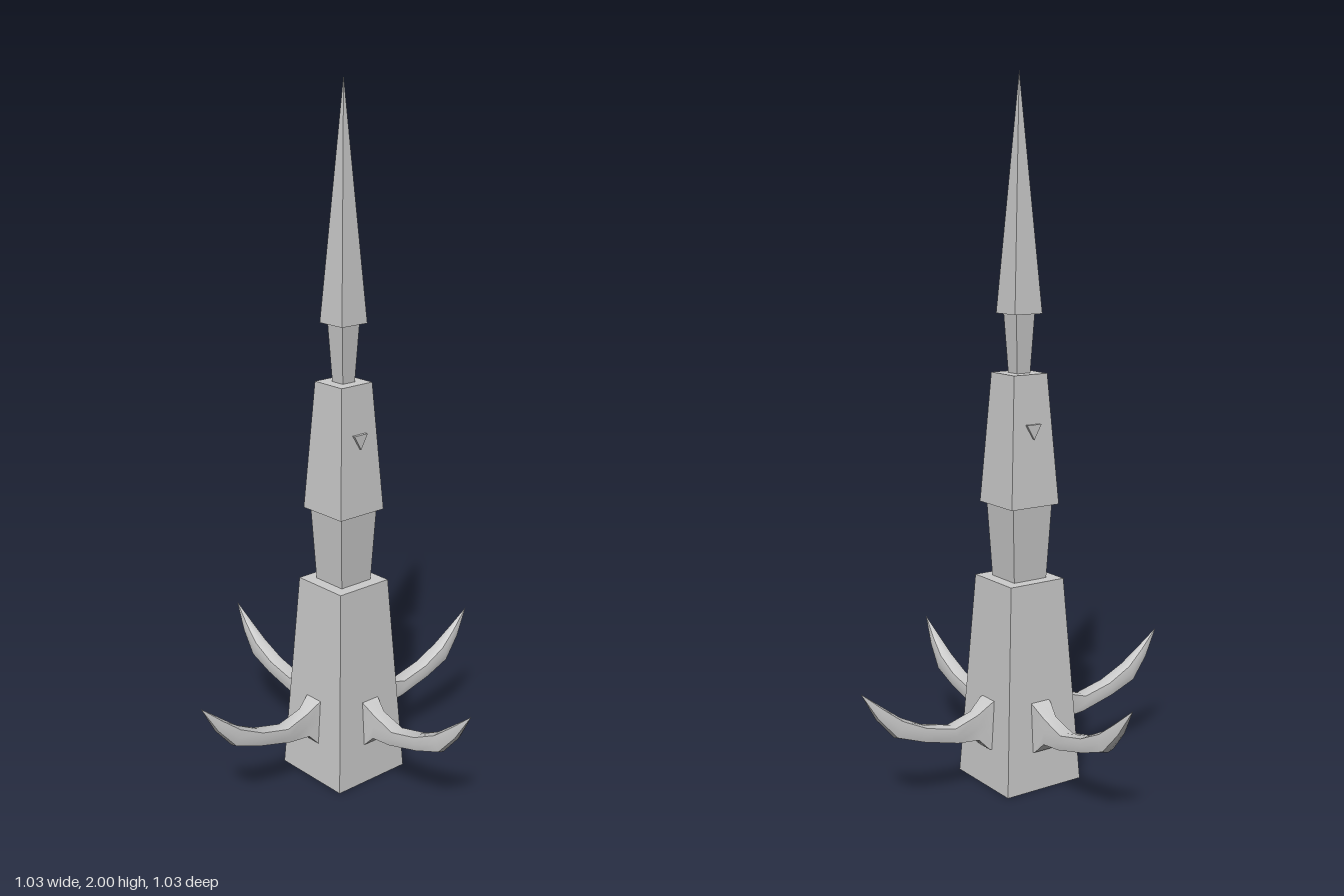
import * as THREE from 'three';
import { toCreasedNormals } from 'three/addons/utils/BufferGeometryUtils.js';

const flat = new THREE.MeshStandardMaterial({ color: 0xcccccc, flatShading: true });
const smooth = new THREE.MeshStandardMaterial({ color: 0xcccccc });

// Square tapered block; sizes are half widths at bottom and top
function taperedBlock(name, y0, y1, bottom, top) {
  const geometry = new THREE.CylinderGeometry(top * Math.SQRT2, bottom * Math.SQRT2, y1 - y0, 4);
  geometry.rotateY(Math.PI / 4);
  geometry.translate(0, (y0 + y1) / 2, 0);
  const mesh = new THREE.Mesh(geometry, flat);
  mesh.name = name;
  return mesh;
}

// Curved claw along +x: boxy at the root, rounder outwards, ending in a point
function clawGeometry() {
  // top x, top y, bottom x, bottom y, half width, squareness (1 box .. 0 oval)
  const sections = [
    [0.09, 0.262, 0.09, 0.105, 0.031, 1],
    [0.115, 0.25, 0.122, 0.115, 0.03, 1],
    [0.155, 0.222, 0.15, 0.143, 0.021, 0.8],
    [0.23, 0.2, 0.22, 0.15, 0.024, 0.6],
    [0.32, 0.222, 0.33, 0.178, 0.025, 0.5],
    [0.395, 0.26, 0.415, 0.207, 0.023, 0.4],
    [0.45, 0.302, 0.47, 0.27, 0.015, 0.2],
    [0.515, 0.352, 0.515, 0.352, 0, 0],
  ];
  const sides = 8, positions = [], index = [];
  for (const [tx, ty, bx, by, w, square] of sections) {
    for (let j = 0; j < sides; j++) {
      const a = (j / sides) * Math.PI * 2;
      const stretch = j % 2 ? 1 + square * (Math.SQRT2 - 1) : 1;
      const u = (1 + Math.cos(a) * stretch) / 2;
      positions.push(bx + (tx - bx) * u, by + (ty - by) * u, Math.sin(a) * stretch * w);
    }
  }
  for (let i = 0; i < sections.length - 1; i++) {
    for (let j = 0; j < sides; j++) {
      const a = i * sides + j, b = i * sides + (j + 1) % sides;
      index.push(a, b, a + sides);
      if (i < sections.length - 2) index.push(b, b + sides, a + sides);
    }
  }
  const geometry = new THREE.BufferGeometry();
  geometry.setAttribute('position', new THREE.Float32BufferAttribute(positions, 3));
  geometry.setIndex(index);
  return toCreasedNormals(geometry, Math.PI / 4);
}

export function createModel() {
  const model = new THREE.Group();
  model.name = 'spireTower';

  // Stacked tower, a hair off centre from the claws
  const tower = new THREE.Group();
  tower.name = 'tower';
  tower.position.set(-0.005, 0, 0.005);
  tower.add(
    taperedBlock('base', 0, 0.595, 0.126, 0.09),
    taperedBlock('lowerNeck', 0.595, 0.81, 0.055, 0.066),
    taperedBlock('upperBlock', 0.81, 1.18, 0.08, 0.056),
    taperedBlock('upperNeck', 1.18, 1.345, 0.022, 0.031),
    taperedBlock('spire', 1.345, 2, 0.046, 0),
  );

  // Small inverted triangles on front and back
  const triangle = new THREE.Shape([
    new THREE.Vector2(-0.024, 1.042),
    new THREE.Vector2(0, 1.0),
    new THREE.Vector2(0.024, 1.042),
  ]);
  const markGeometry = new THREE.ExtrudeGeometry(triangle, { depth: 0.02, bevelEnabled: false });
  markGeometry.translate(0, 0, 0.054);
  for (const [name, turn] of [['frontTriangle', 0], ['backTriangle', Math.PI]]) {
    const mark = new THREE.Mesh(markGeometry, flat);
    mark.name = name;
    mark.rotation.y = turn;
    tower.add(mark);
  }
  model.add(tower);

  // Four claws around the base
  const claw = clawGeometry();
  ['leftClaw', 'backClaw', 'rightClaw', 'frontClaw'].forEach((name, i) => {
    const mesh = new THREE.Mesh(claw, smooth);
    mesh.name = name;
    mesh.rotation.y = i * Math.PI / 2;
    model.add(mesh);
  });
  return model;
}
